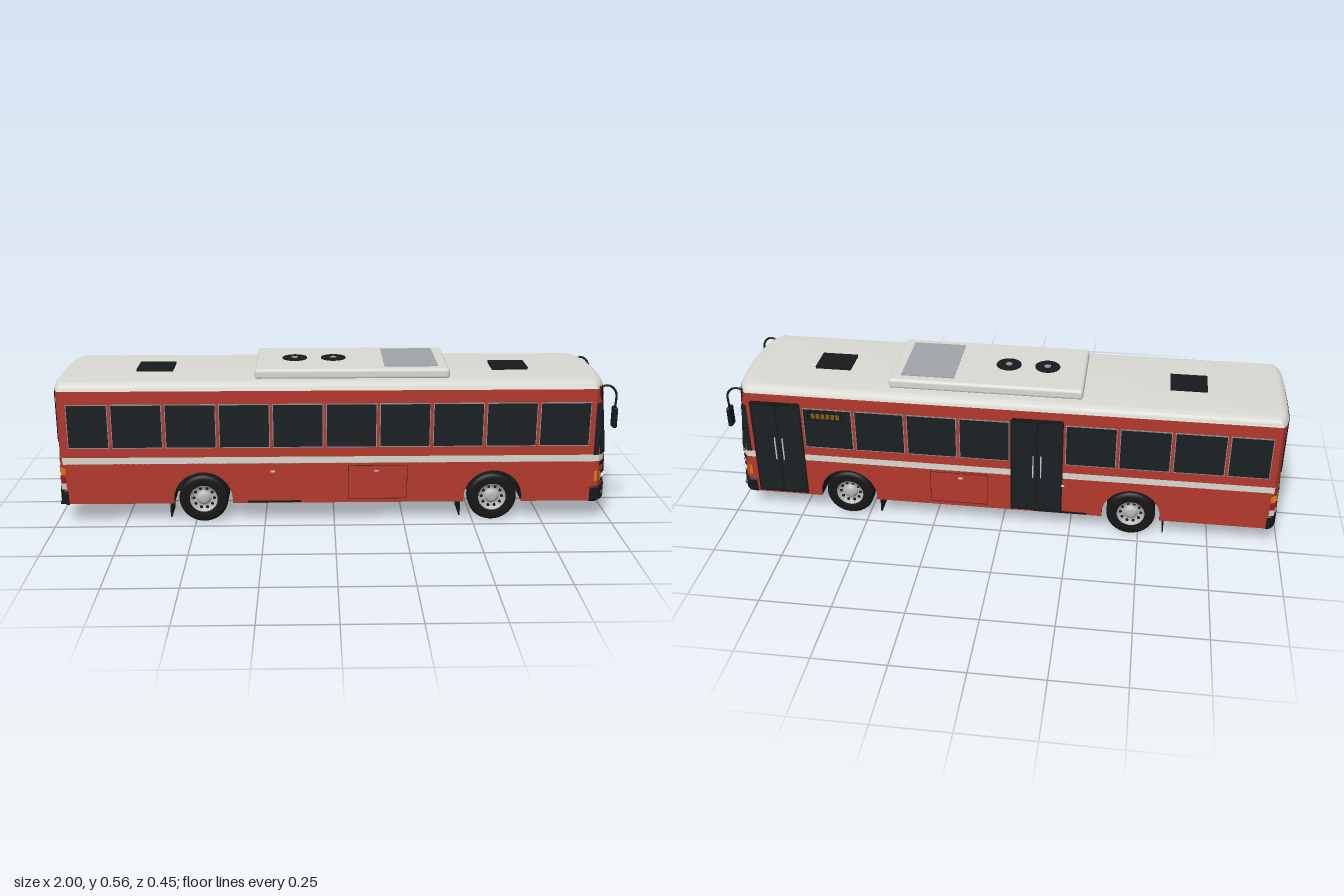
import * as THREE from 'three';
import { toCreasedNormals } from 'three/addons/utils/BufferGeometryUtils.js';
import { RoundedBoxGeometry } from 'three/addons/geometries/RoundedBoxGeometry.js';

const RED = 0xb5392d, WHITE = 0xd9d9d3, BLACK = 0x17191b, GLASS = 0x1a2023, GREY = 0x8c9094,
  RUBBER = 0x161616, AMBER = 0x8a5a10, YELLOW = 0xd8b010, SILVER = 0xc4c6c8, ORANGE = 0xd87818;
const W = 0.217, FLOOR = 0.075, AXLES = [-0.47, 0.57], HUB = 0.088, N = 32;
const mats = {};
const mat = c => (mats[c] ??= new THREE.MeshStandardMaterial({ color: c, side: THREE.DoubleSide }));

// Bowed front (raked above the stripe) and nearly flat rear
const bow = (z, a, b) => { const t = z / W; return a * t * t + b * t ** 8; };
const frontX = (y, z) => 0.99 - 0.1 * Math.max(0, y - 0.25) - bow(z, 0.02, 0.025);
const rearX = (y, z) => -0.988 + bow(z, 0.006, 0.02);

// Plan outline at a height, optionally clamped to a range of x
function ring(y, inset = 0, lo = -2, hi = 2) {
  const pts = [];
  for (const s of [1, -1]) for (let i = 0; i <= N; i++) {
    const z = s * W * (1 - 2 * i / N);
    const x = s > 0 ? frontX(y, z) - inset : rearX(y, z) + inset;
    pts.push([Math.min(hi, Math.max(lo, x)), y, z * (W - inset) / W]);
  }
  return pts;
}

function loft(rings, bottom, top) {
  const p = [], n = rings[0].length, tri = (...v) => v.forEach(q => p.push(...q));
  for (let r = 0; r < rings.length - 1; r++) for (let i = 0; i < n; i++) {
    const j = (i + 1) % n, a = rings[r], b = rings[r + 1];
    tri(a[i], a[j], b[j]); tri(a[i], b[j], b[i]);
  }
  const cap = (g, up) => {
    const c = [(g[N / 2][0] + g[N + 1 + N / 2][0]) / 2, g[0][1], 0];
    for (let i = 0; i < n; i++) { const j = (i + 1) % n; up ? tri(c, g[i], g[j]) : tri(c, g[j], g[i]); }
  };
  if (bottom) cap(rings[0], false);
  if (top) cap(rings.at(-1), true);
  const geo = new THREE.BufferGeometry();
  geo.setAttribute('position', new THREE.Float32BufferAttribute(p, 3));
  return toCreasedNormals(geo, 0.6);
}

// Panel that follows the front (s = 1) or rear (s = -1)
function endPanel(s, z0, z1, y0, y1, off) {
  const geo = new THREE.PlaneGeometry(1, 1, Math.abs(z1 - z0) > 0.1 ? N : 4, 2), p = geo.attributes.position;
  for (let i = 0; i < p.count; i++) {
    const u = p.getX(i) + 0.5, y = y0 + (y1 - y0) * (p.getY(i) + 0.5);
    const z = s > 0 ? z1 + (z0 - z1) * u : z0 + (z1 - z0) * u;
    p.setXYZ(i, s > 0 ? frontX(y, z) + off : rearX(y, z) - off, y, z);
  }
  geo.computeVertexNormals();
  return geo;
}

// Lower side outline with wheel arches
function skirtShape(x0, x1) {
  const s = new THREE.Shape(), r = 0.105, dx = Math.sqrt(r * r - (HUB - FLOOR) ** 2), a = Math.asin((HUB - FLOOR) / r);
  s.moveTo(x0, FLOOR);
  for (const x of AXLES) { s.lineTo(x - dx, FLOOR); s.absarc(x, HUB, r, Math.PI + a, -a, true); }
  s.lineTo(x1, FLOOR); s.lineTo(x1, 0.226); s.lineTo(x0, 0.226);
  return s;
}

export function createModel() {
  const model = new THREE.Group();
  const add = (name, geo, color, x = 0, y = 0, z = 0, parent = model) => {
    const m = new THREE.Mesh(geo, mat(color));
    m.name = name; m.position.set(x, y, z); parent.add(m);
    return m;
  };
  const box = (name, c, w, h, d, x, y, z) => add(name, new THREE.BoxGeometry(w, h, d), c, x, y, z);
  const plate = (name, c, s, x0, x1, y0, y1, off) =>
    box(name, c, x1 - x0, y1 - y0, 0.006 + off, (x0 + x1) / 2, (y0 + y1) / 2, s * (W + off / 2 - 0.003));
  const end = (name, c, s, z0, z1, y0, y1, off = 0.003) => add(name, endPanel(s, z0, z1, y0, y1, off), c);
  const extrude = (shape, depth) => new THREE.ExtrudeGeometry(shape, { depth, bevelEnabled: false, curveSegments: 24 });
  const tube = (name, c, pts, r) => add(name, new THREE.TubeGeometry(
    new THREE.CatmullRomCurve3(pts.map(p => new THREE.Vector3(...p))), 14, r, 8), c);
  const disc = (name, c, s, y, z, r) => add(name, new THREE.CylinderGeometry(r, r, 0.008, 20).rotateZ(Math.PI / 2), c,
    s > 0 ? frontX(y, z) + 0.004 : rearX(y, z) - 0.004, y, z);

  // Body shell
  add('chassis', extrude(skirtShape(-0.95, 0.93), 0.42), BLACK, 0, 0, -0.21);
  box('chassisCentre', BLACK, 1.86, 0.145, 0.2, 0, 0.15, 0);
  for (const s of [1, -1]) add('lowerSide', extrude(skirtShape(-0.95, 0.93), 0.01), RED, 0, 0, s > 0 ? W - 0.01 : -W);
  for (const [name, lo, hi] of [['front', 0.92, 2], ['rear', -2, -0.95]]) {
    add(name + 'LowerPanel', loft([ring(0.12, 0, lo, hi), ring(0.225, 0, lo, hi)], true), RED);
    add(name + 'Bumper', loft([ring(0.071, 0.004, lo, hi), ring(0.08, -0.005, lo, hi), ring(0.125, -0.005, lo, hi),
      ring(0.13, 0, lo, hi)], true, true), BLACK);
  }
  add('waistStripe', loft([ring(0.225), ring(0.25)]), WHITE);
  add('upperBody', loft([ring(0.25), ring(0.495)]), RED);
  const roofRings = [ring(0.493, -0.001)];
  for (let i = 0; i <= 6; i++) {
    const a = i * Math.PI / 12;
    roofRings.push(ring(0.495 + 0.027 * Math.sin(a), 0.03 * (1 - Math.cos(a))));
  }
  add('roof', loft(roofRings, false, true), WHITE);

  // Side windows and doors; the doors are on the right side only
  const posts = [-0.945];
  for (let i = 0; i < 10; i++) posts.push(-0.79 + 0.189 * i);
  for (const s of [1, -1]) {
    for (let i = 0; i < 10; i++) {
      const x0 = posts[i] + 0.005, x1 = posts[i + 1] - 0.005;
      if (s < 0 && (i === 4 || i === 9)) {
        plate('doorFrame', BLACK, s, x0 - 0.002, x1 + 0.006, 0.08, 0.455, 0.001);
        const mid = (x0 + x1) / 2;
        for (const d of [-1, 1]) {
          plate('doorLeaf', GLASS, s, mid + d * 0.045 - 0.042, mid + d * 0.045 + 0.042, 0.09, 0.445, 0.004);
          box('doorHandle', SILVER, 0.004, 0.09, 0.006, mid + d * 0.014, 0.27, s * (W + 0.006));
        }
        plate('doorRail', BLACK, s, x0, x1, 0.452, 0.462, 0.005);
      } else {
        plate('windowFrame', GREY, s, x0, x1, 0.284, 0.446, 0.0015);
        plate('windowGlass', GLASS, s, x0 + 0.003, x1 - 0.003, 0.288, 0.442, 0.003);
      }
    }
    plate('cornerGlass', GLASS, s, 0.925, 0.943, 0.25, 0.44, 0.0015);
    // Luggage hatch, its seams and small catches
    for (const x of [0.05, 0.26]) plate('hatchSeam', 0x5a1c16, s, x - 0.001, x + 0.001, 0.09, 0.215, 0.001);
    for (const y of [0.09, 0.215]) plate('hatchSeam', 0x5a1c16, s, 0.05, 0.26, y - 0.001, y + 0.001, 0.001);
    for (const x of [-0.22, 0.15]) plate('hatchCatch', SILVER, s, x - 0.008, x + 0.008, 0.192, 0.198, 0.003);
    plate('skirtTrim', BLACK, s, -0.31, -0.12, 0.077, 0.084, 0.002);
  }
  plate('sideSign', BLACK, -1, 0.57, 0.7, 0.4, 0.436, 0.005);
  for (let i = 0; i < 6; i++) plate('sideSignLamp', AMBER, -1, 0.582 + i * 0.018, 0.595 + i * 0.018, 0.408, 0.428, 0.006);

  // Front face
  end('windscreen', GLASS, 1, -W, W, 0.25, 0.44);
  end('windscreenSill', BLACK, 1, -W, W, 0.21, 0.225);
  end('frontSign', BLACK, 1, -0.205, 0.205, 0.45, 0.49);
  const lamps = [[0.157, 0.012], [0.141, 0.012], [0.123, 0.012], [0.082, 0.017], [0.058, 0.019], [0.034, 0.02], [0.001, 0.028],
    [-0.033, 0.02], [-0.058, 0.017], [-0.102, 0.014], [-0.12, 0.012], [-0.138, 0.012], [-0.155, 0.012]];
  for (const [z, w] of lamps) {
    end('frontSignLamp', AMBER, 1, z - w / 2, z + w / 2, 0.458, 0.483, 0.005);
    end('rearSignLamp', AMBER, -1, z * 0.8 - w / 2.6, z * 0.8 + w / 2.6, 0.458, 0.483, 0.005);
  }
  end('grille', BLACK, 1, -0.155, 0.155, 0.14, 0.195);
  for (let i = 0; i < 5; i++) end('grilleSlat', SILVER, 1, -0.15, 0.15, 0.145 + i * 0.0103, 0.1485 + i * 0.0103, 0.006);
  end('frontPlate', YELLOW, 1, -0.044, 0.044, 0.09, 0.112, 0.008);
  for (const s of [1, -1]) {
    const e = (n, c, k, a, b, y0, y1, o) => end(n, c, k, Math.min(s * a, s * b), Math.max(s * a, s * b), y0, y1, o);
    e('headlightHousing', BLACK, 1, 0.165, 0.213, 0.147, 0.19, 0.004);
    e('frontIndicator', ORANGE, 1, 0.211, W, 0.15, 0.187, 0.005);
    plate('sideIndicator', ORANGE, s, 0.932, 0.943, 0.15, 0.187, 0.003);
    for (const z of [0.183, 0.203]) disc('headlight', 0xe4e6e8, 1, 0.168, s * z, 0.009);
    disc('fogLight', 0x4a5560, 1, 0.103, s * 0.202, 0.008).position.x += 0.004;
    tube('wiper', 0x0c0c0c, [[0.225, 0.032], [0.3, 0.049], [0.375, 0.065]].map(([y, z]) => {
      const zz = s > 0 ? z + 0.063 - 2 * (z - 0.032) : -z;
      return [frontX(y, zz) + 0.006, y, zz];
    }), 0.002);
    tube('mirrorArm', BLACK, [[0.93, 0.495, s * 0.2], [0.965, 0.503, s * 0.206], [0.99, 0.48, s * 0.207], [0.992, 0.42, s * 0.205]], 0.004);
    add('mirror', new RoundedBoxGeometry(0.016, 0.075, 0.036, 2, 0.005), BLACK, 0.992, 0.387, s * 0.204);
    // Stacked tail lamps wrapping round the corner
    [[0xe0e0e0, 0.132], [0xa01818, 0.156], [ORANGE, 0.188]].forEach(([c, y]) => {
      e('tailLamp', c, -1, 0.175, W, y, y + 0.024, 0.004);
      plate('tailLampSide', c, s, -0.972, -0.955, y, y + 0.024, 0.002);
    });
  }

  // Rear face
  end('rearWaist', RED, -1, -W, W, 0.224, 0.251, 0.002);
  end('rearSign', BLACK, -1, -0.195, 0.195, 0.45, 0.49);
  end('rearWindow', GLASS, -1, -0.2, 0.2, 0.3, 0.442);
  end('rearHandle', SILVER, -1, -0.04, 0.04, 0.272, 0.278, 0.008);
  end('engineGrille', BLACK, -1, -0.15, 0.15, 0.18, 0.24);
  for (let i = 0; i < 5; i++) end('engineSlat', 0x6a2620, -1, -0.145, 0.145, 0.185 + i * 0.011, 0.189 + i * 0.011, 0.005);
  end('rearPlate', YELLOW, -1, -0.044, 0.044, 0.142, 0.164, 0.005);

  // Roof equipment
  add('airConditioner', new RoundedBoxGeometry(0.69, 0.038, 0.33, 3, 0.012), WHITE, 0.065, 0.537, 0);
  box('roofGrille', 0xa0a5a9, 0.19, 0.006, 0.26, 0.275, 0.556, 0);
  for (const x of [-0.14, 0]) {
    add('fan', new THREE.CylinderGeometry(0.045, 0.045, 0.006, 28), BLACK, x, 0.556, 0);
    add('fanHub', new THREE.CylinderGeometry(0.012, 0.012, 0.008, 16), GREY, x, 0.557, 0);
  }
  for (const x of [-0.645, 0.64]) box('roofHatch', BLACK, 0.13, 0.012, 0.11, x, 0.525, 0);

  // Wheels, axles and mud flaps
  const vec = a => a.map(p => new THREE.Vector2(...p));
  const tyre = new THREE.LatheGeometry(vec([[0.048, -0.024], [0.075, -0.027], [0.085, -0.022], [0.088, -0.016], [0.088, -0.009],
    [0.085, -0.008], [0.085, -0.006], [0.088, -0.005], [0.088, 0.005], [0.085, 0.006], [0.085, 0.008], [0.088, 0.009],
    [0.088, 0.016], [0.085, 0.022], [0.075, 0.027], [0.048, 0.024]]), 40);
  const rim = new THREE.LatheGeometry(vec([[0.051, 0.024], [0.047, 0.025], [0.044, 0.014], [0.03, 0.01], [0.024, 0.012],
    [0.02, 0.021], [0.012, 0.024], [0, 0.024]]), 32);
  const hole = new THREE.CylinderGeometry(0.0055, 0.0055, 0.006, 10);
  for (const x of AXLES) for (const s of [1, -1]) {
    const wheel = new THREE.Group();
    wheel.name = x < 0 ? 'rearWheel' : 'frontWheel';
    wheel.position.set(x, HUB, s * 0.183);
    wheel.rotation.x = s * Math.PI / 2;
    add('tyre', tyre, RUBBER, 0, 0, 0, wheel);
    if (x < 0) add('innerTyre', tyre, RUBBER, 0, -0.052, 0, wheel);
    add('rim', rim, 0xb4b6b8, 0, 0, 0, wheel);
    for (let i = 0; i < 10; i++) {
      const a = i * Math.PI / 5;
      add('rimHole', hole, BLACK, 0.037 * Math.cos(a), 0.0115, 0.037 * Math.sin(a), wheel);
    }
    model.add(wheel);
    box('mudFlap', BLACK, 0.005, 0.07, 0.104, x - 0.118, 0.055, s * 0.16);
  }
  for (const x of AXLES) add('axle', new THREE.CylinderGeometry(0.015, 0.015, 0.34, 16).rotateX(Math.PI / 2), BLACK, x, HUB, 0);
  add('differential', new THREE.SphereGeometry(0.037, 24, 16), BLACK, AXLES[0], 0.077, 0);

  // Underfloor tanks and exhaust
  for (const s of [1, -1]) add('airTank', new THREE.CylinderGeometry(0.02, 0.02, 0.24, 20).rotateZ(Math.PI / 2), 0x2b2d2f, 0.05, 0.058, s * 0.08);
  tube('exhaust', BLACK, [[-0.86, 0.058, 0.13], [-0.93, 0.053, 0.13], [-1, 0.05, 0.13]], 0.008);
  return model;
}
